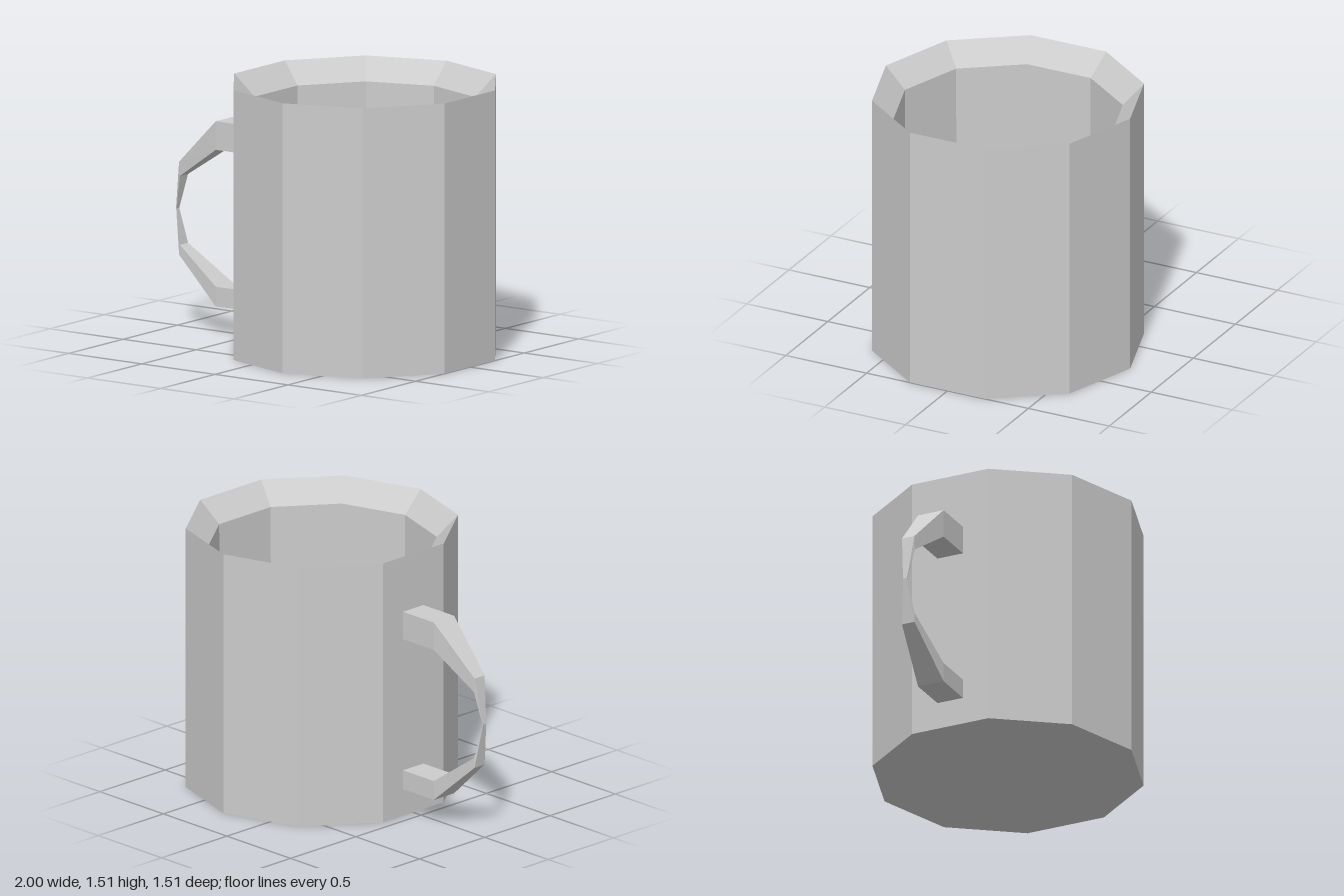
import * as THREE from 'three';

const SIDES = 10, OUTER = 0.755, HEIGHT = 1.51, CENTRE = 0.28;
const FLOOR_R = 0.63, FLOOR_Y = 0.12;

// Four-cornered tube lofted through cross-sections
function loft(sections) {
  const rings = sections.map(([xo, yo, xi, yi, w]) => [
    [xo, yo, w], [xo, yo, -w], [xi, yi, -w], [xi, yi, w],
  ]);
  const pos = [];
  for (let s = 0; s < rings.length - 1; s++) {
    const a = rings[s], b = rings[s + 1];
    for (let i = 0; i < 4; i++) {
      const j = (i + 1) % 4;
      pos.push(...a[i], ...a[j], ...b[j], ...a[i], ...b[j], ...b[i]);
    }
  }
  const geo = new THREE.BufferGeometry();
  geo.setAttribute('position', new THREE.Float32BufferAttribute(pos, 3));
  geo.computeVertexNormals();
  return geo;
}

export function createModel() {
  const group = new THREE.Group();
  group.name = 'mug';
  const grey = new THREE.MeshStandardMaterial({ color: 0xcccccc, flatShading: true });
  grey.name = 'light grey';

  const add = (name, geo) => {
    const mesh = new THREE.Mesh(geo, grey);
    mesh.name = name;
    group.add(mesh);
    return mesh;
  };

  // Ten-sided cup: outer wall, rim sloping inward, inner wall
  const profile = [
    [OUTER, 0], [OUTER, HEIGHT], [0.637, 1.388], [FLOOR_R, FLOOR_Y],
  ].map(([r, y]) => new THREE.Vector2(r, y));
  add('cupWall', new THREE.LatheGeometry(profile, SIDES)).position.x = CENTRE;

  // Discs closing the inside and the underside
  const disc = (r, turn) =>
    new THREE.CircleGeometry(r, SIDES, Math.PI / 2).rotateX(turn * Math.PI / 2);
  add('innerFloor', disc(FLOOR_R, -1)).position.set(CENTRE, FLOOR_Y, 0);
  add('base', disc(OUTER, 1)).position.x = CENTRE;

  // Handle sections: outer x, outer y, inner x, inner y, half width
  add('handle', loft([
    [-0.42, 1.19, -0.42, 1.03, 0.078],
    [-0.68, 1.19, -0.68, 1.03, 0.078],
    [-0.96, 0.925, -0.955, 0.845, 0.038],
    [-1.0, 0.66, -0.996, 0.655, 0.012],
    [-0.96, 0.405, -0.955, 0.46, 0.038],
    [-0.68, 0.155, -0.68, 0.265, 0.078],
    [-0.42, 0.155, -0.42, 0.265, 0.078],
  ]));

  return group;
}
